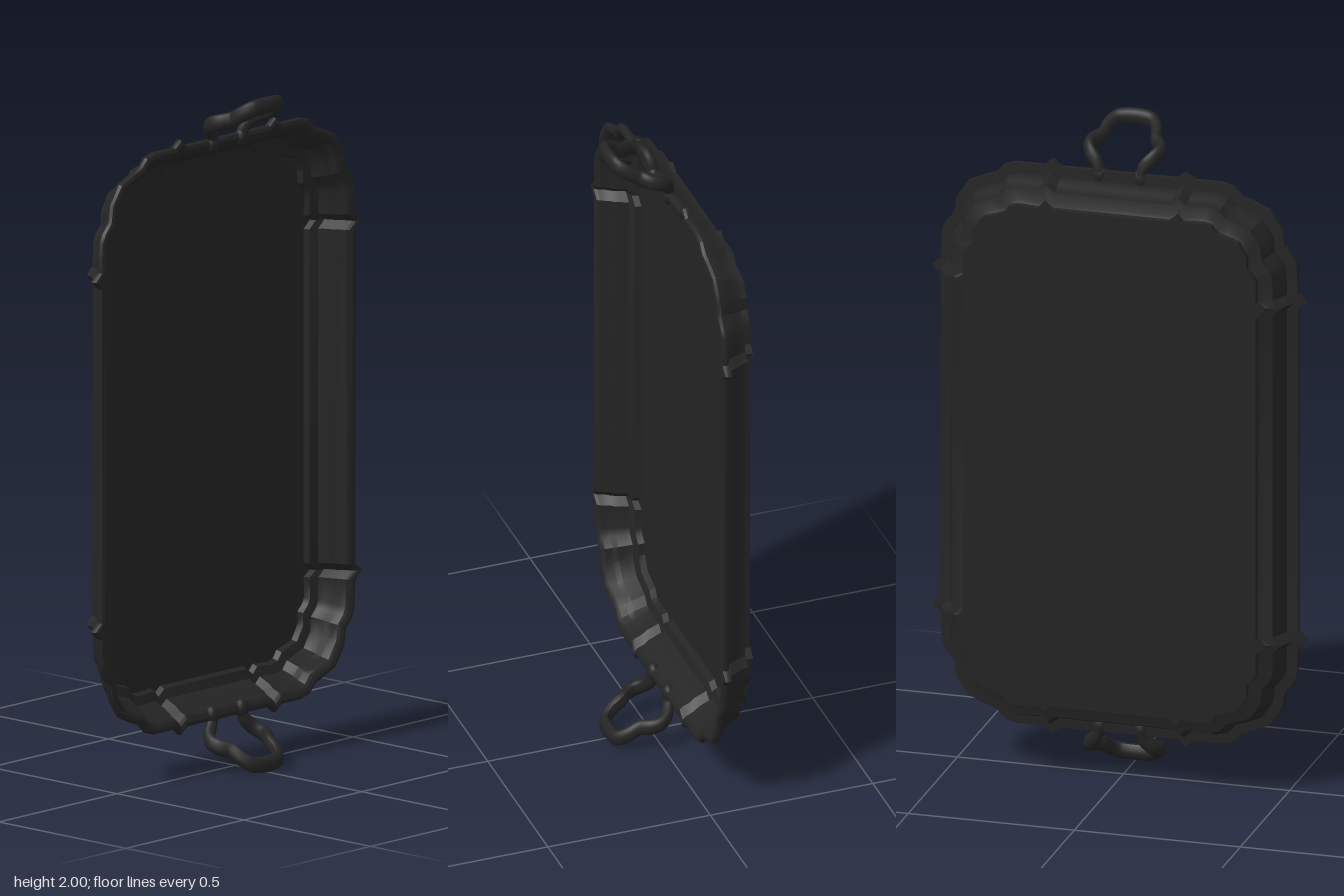
import * as THREE from 'three';
import { toCreasedNormals } from 'three/addons/utils/BufferGeometryUtils.js';

// Upper right quarter of the scalloped outline, measured from the tray centre
const QUARTER = [
  [0.54, 0.495], [0.566, 0.518], [0.54, 0.543], [0.536, 0.63], [0.525, 0.655], [0.5, 0.685],
  [0.492, 0.735], [0.455, 0.79], [0.405, 0.812], [0.37, 0.825], [0.345, 0.852], [0.31, 0.862],
  [0.225, 0.862], [0.2, 0.882], [0.175, 0.862],
];

// Mirror the quarter into a full counter-clockwise outline
const flipped = [...QUARTER].reverse();
const OUTLINE = [
  ...QUARTER,
  ...flipped.map(([x, y]) => [-x, y]),
  ...QUARTER.map(([x, y]) => [-x, -y]),
  ...flipped.map(([x, y]) => [x, -y]),
];

// Outline moved inward as for a rounded rectangle; a null inset gives the centre point
function ring(inset, z) {
  return OUTLINE.map(([x, y]) => {
    if (inset === null) return [0, 0, z];
    const nx = Math.max(Math.abs(x) - 0.2, 0);
    const ny = Math.max(Math.abs(y) - 0.518, 0);
    const len = Math.hypot(nx, ny);
    return [x - Math.sign(x) * inset * nx / len, y - Math.sign(y) * inset * ny / len, z];
  });
}

// Skin a list of [inset, z] steps around the outline
function shell(profile) {
  const rings = profile.map(([inset, z]) => ring(inset, z));
  const n = OUTLINE.length;
  const pos = [];
  for (let i = 0; i < rings.length - 1; i++) {
    for (let j = 0; j < n; j++) {
      const k = (j + 1) % n;
      const a = rings[i][j], b = rings[i + 1][j], c = rings[i + 1][k], d = rings[i][k];
      if (profile[i + 1][0] !== null) pos.push(...a, ...b, ...c);
      if (profile[i][0] !== null) pos.push(...a, ...c, ...d);
    }
  }
  const geometry = new THREE.BufferGeometry();
  geometry.setAttribute('position', new THREE.Float32BufferAttribute(pos, 3));
  return toCreasedNormals(geometry, 0.5);
}

// One looped handle, rising and curling forward from the rim
function createHandle(material) {
  const handle = new THREE.Group();
  const stretch = 1.45; // the bar is taller than it is deep
  const half = [
    [0.062, 0.845, -0.034], [0.068, 0.875, -0.03], [0.092, 0.902, -0.018], [0.106, 0.918, 0.008],
    [0.1, 0.926, 0.035], [0.08, 0.934, 0.06], [0.074, 0.952, 0.09], [0.055, 0.97, 0.118],
    [0.025, 0.975, 0.126],
  ];
  const points = [...half, ...half.map(([x, y, z]) => [-x, y, z]).reverse()]
    .map(([x, y, z]) => new THREE.Vector3(x, y / stretch, z));
  const path = new THREE.CatmullRomCurve3(points);
  const loop = new THREE.TubeGeometry(path, 56, 0.017, 10);
  loop.scale(1, stretch, 1);
  loop.computeVertexNormals();
  const bar = new THREE.Mesh(loop, material);
  bar.name = 'handleLoop';
  handle.add(bar);
  for (const side of [-1, 1]) {
    const foot = new THREE.Mesh(new THREE.SphereGeometry(0.024, 12, 8), material);
    foot.name = 'handleFoot';
    foot.scale.set(1, 1.2, 0.8);
    foot.position.set(side * 0.062, 0.845, -0.032);
    handle.add(foot);
  }
  return handle;
}

export function createModel() {
  const model = new THREE.Group();
  model.name = 'servingTray';
  const metal = new THREE.MeshStandardMaterial({ color: 0x242424 });
  metal.name = 'darkMetal';

  const parts = {
    // flat floor facing forward
    trayFloor: [[null, -0.134], [0.106, -0.134]],
    // stepped inner wall
    innerWall: [[0.106, -0.134], [0.1, -0.116], [0.072, -0.108], [0.066, -0.095],
      [0.055, -0.07], [0.043, -0.056], [0.034, -0.034]],
    // raised edge moulding
    rim: [[0.034, -0.034], [0.026, -0.026], [0.014, -0.022], [0.004, -0.025],
      [0, -0.034], [0.002, -0.044], [0.034, -0.046]],
    // stepped outside wall
    outerWall: [[0.034, -0.046], [0.036, -0.06], [0.045, -0.078], [0.056, -0.1],
      [0.058, -0.113], [0.09, -0.119], [0.1, -0.123], [0.1, -0.145]],
    // flat underside
    base: [[0.1, -0.145], [null, -0.145]],
  };
  for (const [name, profile] of Object.entries(parts)) {
    const mesh = new THREE.Mesh(shell(profile), metal);
    mesh.name = name;
    mesh.position.y = 1;
    model.add(mesh);
  }

  // Handles at both ends; the lower one is turned over with swapped sides and depth restored
  const upper = createHandle(metal);
  upper.name = 'upperHandle';
  upper.position.y = 1;
  const lower = createHandle(metal);
  lower.name = 'lowerHandle';
  lower.rotation.z = Math.PI;
  lower.position.y = 1;
  model.add(upper, lower);
  return model;
}
